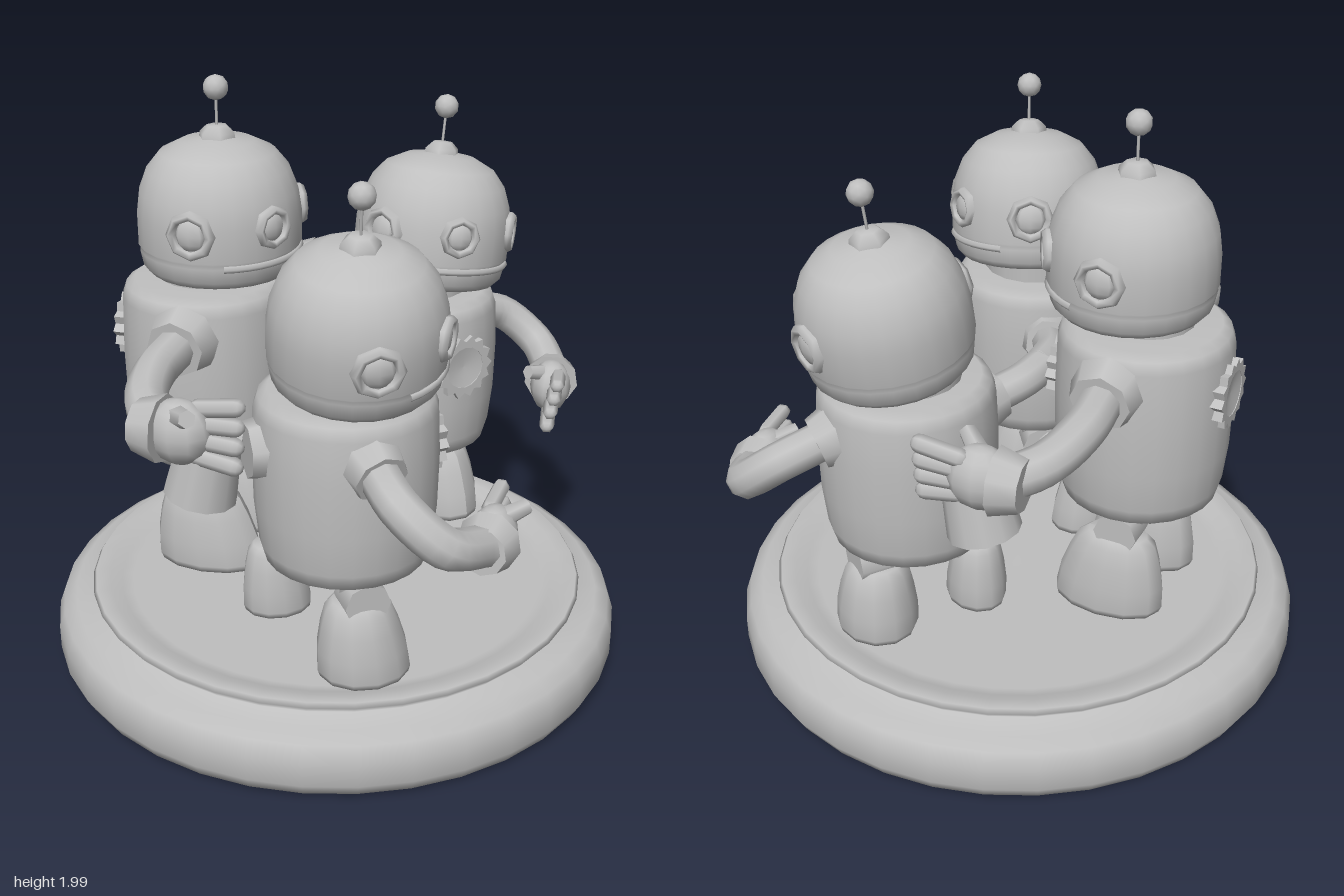
import * as THREE from 'three';

const V = (x, y, z) => new THREE.Vector3(x, y, z);
const UP = V(0, 1, 0);
const metal = new THREE.MeshStandardMaterial({ color: 0xbfbfbf });
metal.name = 'plain grey';

function add(parent, name, geo, x = 0, y = 0, z = 0) {
  const m = new THREE.Mesh(geo, metal);
  m.name = name;
  m.position.set(x, y, z);
  parent.add(m);
  return m;
}
const lathe = (pts, n = 20) => new THREE.LatheGeometry(pts.map(p => new THREE.Vector2(p[0], p[1])), n);

// cylinder running from a to b
function rod(parent, name, a, b, r0, r1 = r0, n = 8) {
  const d = b.clone().sub(a);
  const m = add(parent, name, new THREE.CylinderGeometry(r1, r0, d.length(), n));
  m.position.copy(a).addScaledVector(d, 0.5);
  m.quaternion.setFromUnitVectors(UP, d.normalize());
  return m;
}

// toothed round badge, slightly dished in the middle, on the chest or back
function badge(parent, y, z, angle) {
  const g = new THREE.Group();
  g.name = 'badge';
  const s = new THREE.Shape();
  for (let i = 0; i < 28; i++) {
    const r = i % 2 ? 0.096 : 0.116, t = i / 28 * Math.PI * 2;
    s[i ? 'lineTo' : 'moveTo'](r * Math.cos(t), r * Math.sin(t));
  }
  s.holes.push(new THREE.Path().absarc(0, 0, 0.075, 0, Math.PI * 2, true));
  add(g, 'badgeTeeth', new THREE.ExtrudeGeometry(s, { depth: 0.05, bevelEnabled: false, curveSegments: 8 }), 0, 0, -0.03);
  const dish = add(g, 'badgeDish', lathe([[0.078, 0.018], [0.035, 0.01], [0, 0.008]], 14));
  dish.rotation.x = Math.PI / 2;
  g.position.set(z * Math.sin(angle), y, z * Math.cos(angle));
  g.rotation.y = angle;
  parent.add(g);
}

// round fitting on the head at a given angle: raised ring with a domed middle
function fitting(head, name, angle, y, r) {
  const g = new THREE.Group();
  g.name = name;
  const ring = add(g, name + 'Ring', lathe([[r * 1.05, -0.04], [r * 1.05, 0.01], [r * 0.9, 0.025], [r * 0.7, 0.02], [r * 0.65, 0]], 8));
  const lens = add(g, name + 'Lens', new THREE.SphereGeometry(r * 0.7, 8, 6));
  ring.rotation.x = Math.PI / 2;
  lens.scale.z = 0.45;
  g.position.set(0.262 * Math.sin(angle), y, 0.262 * Math.cos(angle));
  g.rotation.y = angle;
  head.add(g);
}

function makeHead() {
  const head = new THREE.Group();
  head.name = 'head';
  add(head, 'skull', lathe([[0, 0], [0.235, 0], [0.258, 0.025], [0.268, 0.075], [0.262, 0.085], [0.272, 0.095],
    [0.272, 0.2], [0.262, 0.27], [0.235, 0.34], [0.19, 0.395], [0.12, 0.43], [0, 0.45]], 24));
  // lip of the mouth across the face
  const lip = add(head, 'mouthLip', new THREE.TorusGeometry(0.264, 0.012, 5, 16, Math.PI * 0.75), 0, 0.075, 0);
  lip.rotation.set(Math.PI / 2, 0, Math.PI * 0.125);
  for (const s of [-1, 1]) {
    fitting(head, 'eye', s * 0.53, 0.195, 0.068);
    fitting(head, 'ear', s * Math.PI / 2, 0.185, 0.078);
  }
  add(head, 'antennaCap', lathe([[0.065, 0.42], [0.06, 0.455], [0.035, 0.478], [0, 0.48]], 6));
  rod(head, 'antennaRod', V(0, 0.47, 0), V(0, 0.58, 0), 0.005, 0.005, 5);
  add(head, 'antennaBall', new THREE.IcosahedronGeometry(0.042, 1), 0, 0.6, 0);
  return head;
}

function makeHand(parent, pos, dir, size) {
  const g = new THREE.Group();
  g.name = 'hand';
  rod(g, 'cuff', V(0, 0, -0.06), V(0, 0, 0.01), 0.065, 0.085, 9);
  add(g, 'palm', new THREE.SphereGeometry(0.075, 10, 8), 0, 0, 0.05).scale.set(0.85, 1.1, 1.1);
  for (let i = 0; i < 4; i++) {
    const f = add(g, 'finger', new THREE.CapsuleGeometry(0.023, 0.1, 3, 6), 0.008 * i, (i - 1.5) * 0.042, 0.14);
    f.rotation.x = Math.PI / 2 - (i - 1.5) * 0.1;
  }
  rod(g, 'thumb', V(0, 0.04, 0.04), V(-0.07, 0.07, 0.11), 0.03, 0.022, 6);
  g.position.copy(pos);
  g.lookAt(pos.clone().add(dir));
  g.scale.setScalar(size);
  parent.add(g);
}

function makeArm(parent, pts, r, flange) {
  const curve = new THREE.CatmullRomCurve3(pts);
  add(parent, 'arm', new THREE.TubeGeometry(curve, 14, r, 9));
  const d = curve.getTangent(0);
  rod(parent, 'shoulderFlange', pts[0].clone().addScaledVector(d, -0.05), pts[0].clone().addScaledVector(d, 0.03), flange, flange * 0.8, 8);
}

// boot: full rounded shaft leaning back over a longer toe (toe towards +z)
function makeBoot(parent, x, y, z, turn, w, len, h) {
  const geo = lathe([[0, 0], [0.95, 0], [1, 0.08], [0.99, 0.35], [0.9, 0.65], [0.78, 0.88], [0.6, 0.98], [0, 1]], 12);
  const p = geo.attributes.position;
  for (let i = 0; i < p.count; i++) p.setZ(i, p.getZ(i) * (1 - 0.12 * p.getY(i)) - 0.15 * p.getY(i));
  geo.scale(w, h, len);
  geo.computeVertexNormals();
  add(parent, 'boot', geo, x, y, z).rotation.y = turn;
}

// body, neck and hips, facing +z in its own frame
function makeTorso(y, h, neck, turn) {
  const g = new THREE.Group();
  g.name = 'torso';
  add(g, 'body', lathe([[0, 0], [0.22, 0], [0.258, 0.02], [0.272, 0.07], [0.286, 0.2], [0.29, 0.38], [0.284, h - 0.06],
    [0.27, h - 0.02], [0.24, h], [0, h]], 24), 0, y, 0);
  rod(g, 'neck', V(0, y + h - 0.02, 0), V(0, y + h + 0.07, 0), neck, neck, 16);
  rod(g, 'hipBar', V(-0.19, y - 0.07, 0), V(0.19, y - 0.07, 0), 0.04);
  for (const s of [-1, 1]) {
    rod(g, 'hipJoint', V(s * 0.1, y - 0.075, 0), V(s * 0.21, y - 0.075, 0), 0.075);
    rod(g, 'thigh', V(s * 0.14, y - 0.14, 0), V(s * 0.13, y + 0.02, 0), 0.06, 0.075);
  }
  g.rotation.y = turn;
  return g;
}

function tallRobot() {
  const r = new THREE.Group();
  r.name = 'tallRobot';
  const torso = makeTorso(0.69, 0.63, 0.155, Math.PI / 2);
  torso.position.x = -0.455;
  badge(torso, 1.09, 0.282, 0);
  badge(torso, 1.12, 0.282, Math.PI);
  r.add(torso);
  const head = makeHead();
  head.position.set(-0.4, 1.355, 0);
  head.rotation.y = Math.PI / 2;
  r.add(head);
  for (const s of [-1, 1]) {
    makeArm(r, [V(-0.44, 1.18, 0.31 * s), V(-0.45, 1.16, 0.48 * s), V(-0.41, 1.13, 0.65 * s), V(-0.32, 1.11, 0.76 * s)], 0.068, 0.122);
    makeHand(r, V(-0.32, 1.11, 0.76 * s), V(1, 0.02, 0.1 * s), 1.25);
    rod(r, 'cup', V(-0.23, 0.87, 0.69 * s), V(-0.185, 1.08, 0.69 * s), 0.115, 0.095, 12);
    makeBoot(r, -0.415, 0.31, 0.148 * s, Math.PI / 2, 0.113, 0.195, 0.285);
  }
  return r;
}

// s = 1 stands at the front, s = -1 at the back; footX places the inner boot
function smallRobot(s, z, footX) {
  const r = new THREE.Group();
  r.name = s > 0 ? 'frontRobot' : 'backRobot';
  const turn = Math.PI / 2 + s * 0.62;
  const torso = makeTorso(0.61, 0.58, 0.18, turn);
  torso.position.set(0.17, 0, z);
  badge(torso, 0.97, 0.28, s * 0.1);
  r.add(torso);
  // head leans a little outwards
  const lean = new THREE.Group();
  lean.name = 'leaningHead';
  const head = makeHead();
  head.rotation.y = Math.PI / 2 + s * 0.48;
  lean.add(head);
  lean.position.set(0.205, 1.22, z + 0.01 * s);
  lean.rotation.set(s * 0.14, 0, -0.06);
  r.add(lean);
  // outer arm bends round to the front of the belly
  const o = z - s * 0.48;
  const p = (x, y, d) => V(x, y, d * s + o);
  makeArm(r, [p(0.33, 1.03, 0.71), p(0.43, 0.98, 0.82), p(0.56, 0.88, 0.82), p(0.645, 0.82, 0.68)], 0.064, 0.105);
  makeHand(r, p(0.65, 0.81, 0.64), V(0.1, -0.05, -s), 1.15);
  // inner arm meets the companion's arm
  makeArm(r, [p(0, 1.02, 0.24), p(-0.06, 1.04, 0.13), V(-0.08, 1.05, -0.01 * s)], 0.062, 0.105);
  makeBoot(r, 0.26, 0.26, 0.58 * s + o, turn, 0.135, 0.155, 0.265);
  makeBoot(r, footX, 0.26, 0.3 * s + o, turn, 0.1, 0.12, 0.25);
  rod(r, 'ankle', p(footX + 0.02, 0.46, 0.31), p(0.06, 0.56, 0.35), 0.05);
  return r;
}

export function createModel() {
  const model = new THREE.Group();
  model.name = 'robotTrio';
  // round stand with a rolled rim and a shallow dished floor
  const base = lathe([[0, 0.015], [0.92, 0.01], [0.96, 0.025], [0.985, 0.07], [0.985, 0.15], [0.965, 0.205], [0.92, 0.232],
    [0.84, 0.24], [0.86, 0.265], [0.85, 0.28], [0.8, 0.275], [0.76, 0.258], [0.72, 0.25], [0, 0.255]], 36);
  add(model, 'base', base);
  const front = smallRobot(1, 0.48, -0.12);
  // round plate on the front robot's back
  rod(front, 'backPlate', V(0, 1.02, 0.6), V(-0.09, 1.02, 0.66), 0.11, 0.09, 7);
  model.add(tallRobot(), front, smallRobot(-1, -0.45, 0.03));
  return model;
}
